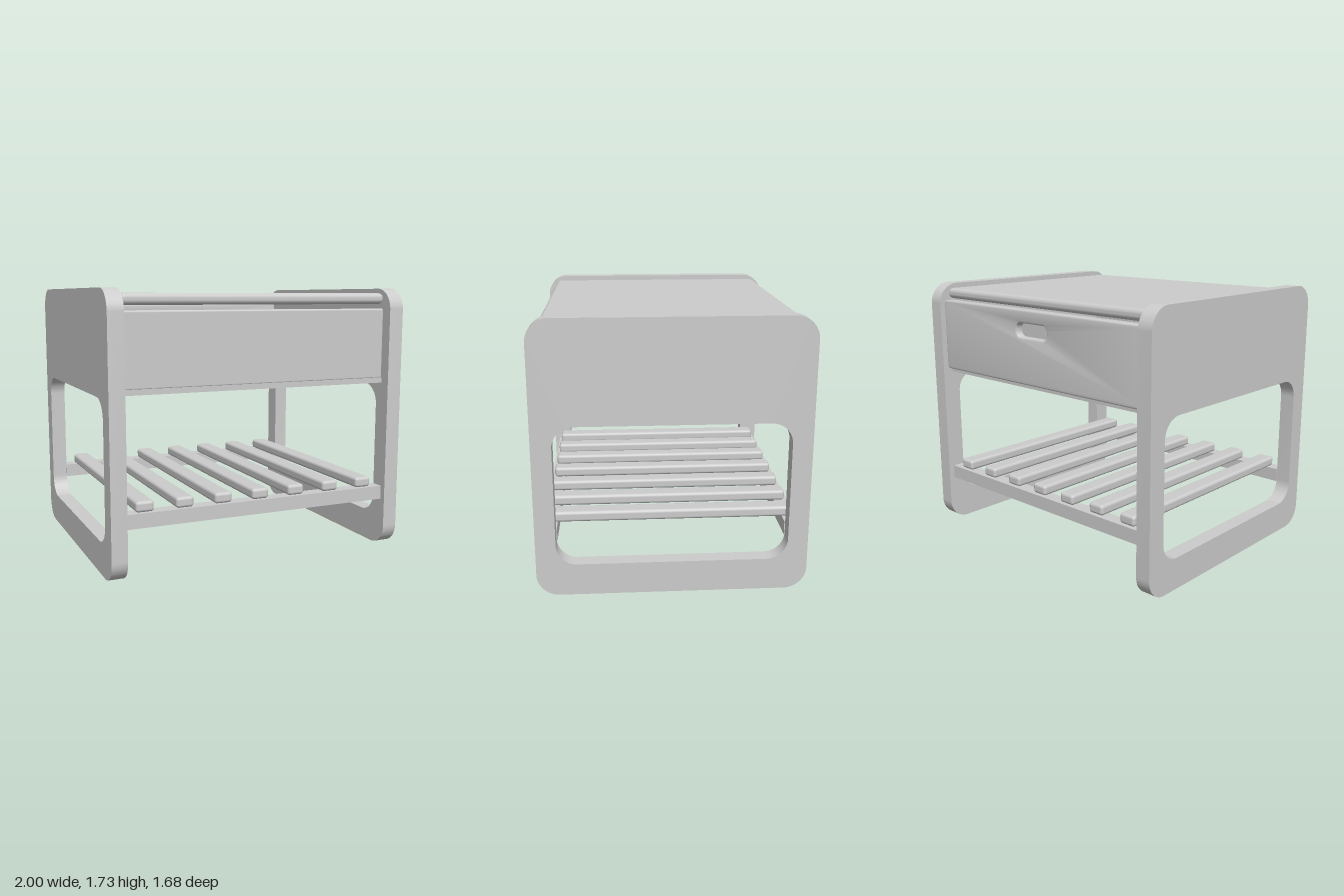
import * as THREE from 'three';
import { toCreasedNormals } from 'three/addons/utils/BufferGeometryUtils.js';
import { RoundedBoxGeometry } from 'three/addons/geometries/RoundedBoxGeometry.js';

// Rounded rectangle outline, usable as a shape or a hole
function roundedRect(Type, x0, y0, x1, y1, r) {
  const p = new Type();
  p.absarc(x1 - r, y0 + r, r, -Math.PI / 2, 0);
  p.absarc(x1 - r, y1 - r, r, 0, Math.PI / 2);
  p.absarc(x0 + r, y1 - r, r, Math.PI / 2, Math.PI);
  p.absarc(x0 + r, y0 + r, r, Math.PI, Math.PI * 1.5);
  p.closePath();
  return p;
}

export function createModel() {
  const model = new THREE.Group();
  model.name = 'nightstand';
  const paint = new THREE.MeshStandardMaterial({ color: 0xcccccc });
  paint.name = 'light grey';

  function add(name, geometry) {
    const mesh = new THREE.Mesh(geometry, paint);
    mesh.name = name;
    model.add(mesh);
    return mesh;
  }

  // Box given by its extents, with rounded edges when r > 0
  function slab(name, x0, x1, y0, y1, z0, z1, r = 0) {
    const size = [x1 - x0, y1 - y0, z1 - z0];
    const geometry = r ? new RoundedBoxGeometry(...size, 4, r) : new THREE.BoxGeometry(...size);
    add(name, geometry).position.set((x0 + x1) / 2, (y0 + y1) / 2, (z0 + z1) / 2);
  }

  // Side frames: rounded panels with a large window
  const frame = roundedRect(THREE.Shape, -0.84, 0, 0.84, 1.73, 0.14);
  frame.holes.push(roundedRect(THREE.Path, -0.715, 0.205, 0.715, 1.09, 0.13));
  const frameGeometry = toCreasedNormals(
    new THREE.ExtrudeGeometry(frame, { depth: 0.1, bevelEnabled: false, curveSegments: 12 })
      .translate(0, 0, -0.05).rotateY(Math.PI / 2), 0.6);
  for (const [name, x] of [['leftFrame', 0.95], ['rightFrame', -0.95]]) {
    add(name, frameGeometry).position.x = x;
  }

  // Cabinet: top, front and floor
  slab('top', -0.9, 0.9, 1.63, 1.7, -0.775, 0.775, 0.03);
  slab('frontPanel', -0.9, 0.9, 1.14, 1.6, 0.71, 0.77, 0.012);
  slab('cabinetFloor', -0.9, 0.9, 1.11, 1.145, -0.77, 0.77);

  // Drawer front at the back, with a pill-shaped finger recess
  const bevel = 0.012;
  const drawer = roundedRect(THREE.Shape, -0.895 + bevel, 1.14 + bevel, 0.895 - bevel, 1.62 - bevel, 0.012);
  drawer.holes.push(roundedRect(THREE.Path, -0.14 - bevel, 1.445 - bevel, 0.14 + bevel, 1.535 + bevel, 0.05));
  add('drawerFront', toCreasedNormals(new THREE.ExtrudeGeometry(drawer, {
    depth: 0.07 - 2 * bevel, bevelThickness: bevel, bevelSize: bevel, bevelSegments: 3, curveSegments: 8,
  }), 0.6)).position.z = -0.81 + bevel;
  slab('recessBack', -0.2, 0.2, 1.4, 1.58, -0.76, -0.735);

  // Lower rack: two rails carrying seven slats
  slab('frontRail', -0.9, 0.9, 0.32, 0.41, 0.71, 0.8);
  slab('backRail', -0.9, 0.9, 0.32, 0.41, -0.8, -0.71);
  for (let i = 0; i < 7; i++) {
    const x = (i - 3) * 0.2565;
    slab('slat' + (i + 1), x - 0.0575, x + 0.0575, 0.408, 0.476, -0.78, 0.78, 0.02);
  }
  return model;
}
